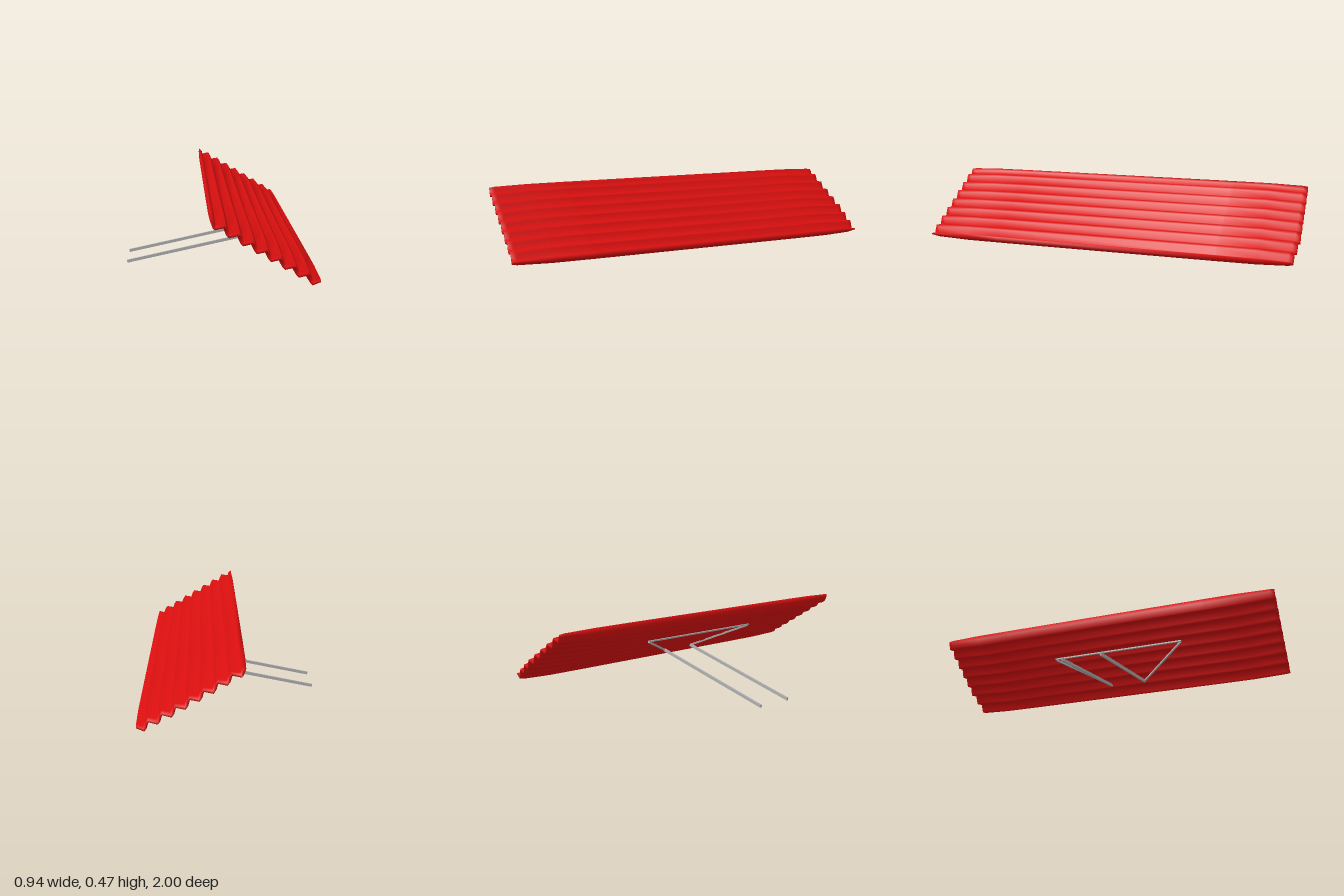
import * as THREE from 'three';

const red = new THREE.MeshStandardMaterial({ color: 0xdb0f0f });
red.name = 'red sheet';
const grey = new THREE.MeshStandardMaterial({ color: 0xb0b0b0 });
grey.name = 'grey metal';

// Upper and lower outlines of the sloping corrugated section, paired point by point
function sheetOutlines() {
  const upper = [[-0.033, 0.468], [-0.014, 0.459], [-0.011, 0.436]];
  const lower = [[-0.039, 0.442], [-0.031, 0.405], [-0.023, 0.402]];
  for (let i = 0; i < 7; i++) {
    const dx = i * 0.0643, dy = -i * 0.0375;
    upper.push([0.030 + dx, 0.443 + dy], [0.040 + dx, 0.436 + dy], [0.052 + dx, 0.400 + dy]);
    lower.push([0.021 + dx, 0.413 + dy], [0.031 + dx, 0.371 + dy], [0.041 + dx, 0.364 + dy]);
  }
  upper.push([0.468, 0.180]);
  lower.push([0.470, 0.159]);
  return { upper, lower };
}

// Sheet: the section swept along z, thinning to rounded ends
function sheetGeometry() {
  const { upper, lower } = sheetOutlines();
  const n = upper.length, ring = 2 * n;
  const stations = [[-1, 0.35], [-0.975, 0.6], [-0.8, 0.95], [-0.6, 1],
    [0.6, 1], [0.8, 0.95], [0.975, 0.6], [1, 0.35]];
  const positions = [], index = [];
  for (const [z, f] of stations) {
    const point = (p, q) => {
      const mx = (p[0] + q[0]) / 2, my = (p[1] + q[1]) / 2;
      const x = 0.215 + (mx - 0.215) * (0.97 + 0.03 * f) + (p[0] - mx) * f;
      const trim = z < -0.9 ? Math.max(0, mx - 0.3) * 0.15 : 0;
      positions.push(x, my + (p[1] - my) * f, z + trim);
    };
    for (let i = 0; i < n; i++) point(upper[i], lower[i]);
    for (let i = n - 1; i >= 0; i--) point(lower[i], upper[i]);
  }
  for (let k = 0; k < stations.length - 1; k++) {
    for (let j = 0; j < ring; j++) {
      const a = k * ring + j, b = k * ring + (j + 1) % ring;
      index.push(a, a + ring, b, b, a + ring, b + ring);
    }
  }
  // End caps
  const last = (stations.length - 1) * ring;
  for (let i = 0; i < n - 1; i++) {
    const u = i, v = i + 1, l = ring - 1 - i, m = ring - 2 - i;
    index.push(last + u, last + l, last + v, last + v, last + l, last + m);
    index.push(u, v, l, v, m, l);
  }
  const geometry = new THREE.BufferGeometry();
  geometry.setAttribute('position', new THREE.Float32BufferAttribute(positions, 3));
  geometry.setIndex(index);
  geometry.computeVertexNormals();
  return geometry;
}

// Flat metal bar between two points
function bar(name, from, to, width, height) {
  const a = new THREE.Vector3(...from), b = new THREE.Vector3(...to);
  const mesh = new THREE.Mesh(new THREE.BoxGeometry(width, height, a.distanceTo(b)), grey);
  mesh.name = name;
  mesh.position.copy(a).add(b).multiplyScalar(0.5);
  mesh.lookAt(b);
  return mesh;
}

export function createModel() {
  const model = new THREE.Group();
  model.name = 'corrugatedPanel';

  const sheet = new THREE.Mesh(sheetGeometry(), red);
  sheet.name = 'corrugatedSheet';
  model.add(sheet);

  // Support frame: two legs, two splayed arms under the sheet and a cross bar
  const frame = new THREE.Group();
  frame.name = 'supportFrame';
  for (const [z, armZ] of [[0.152, 0.43], [-0.056, -0.34]]) {
    frame.add(bar('leg', [-0.466, 0.009, z], [0.345, 0.186, z - 0.004], 0.01, 0.016));
    frame.add(bar('arm', [0.345, 0.186, z - 0.004], [0.13, 0.305, armZ], 0.01, 0.01));
  }
  frame.add(bar('crossBar', [0.126, 0.309, -0.345], [0.126, 0.309, 0.435], 0.012, 0.008));
  model.add(frame);

  return model;
}
